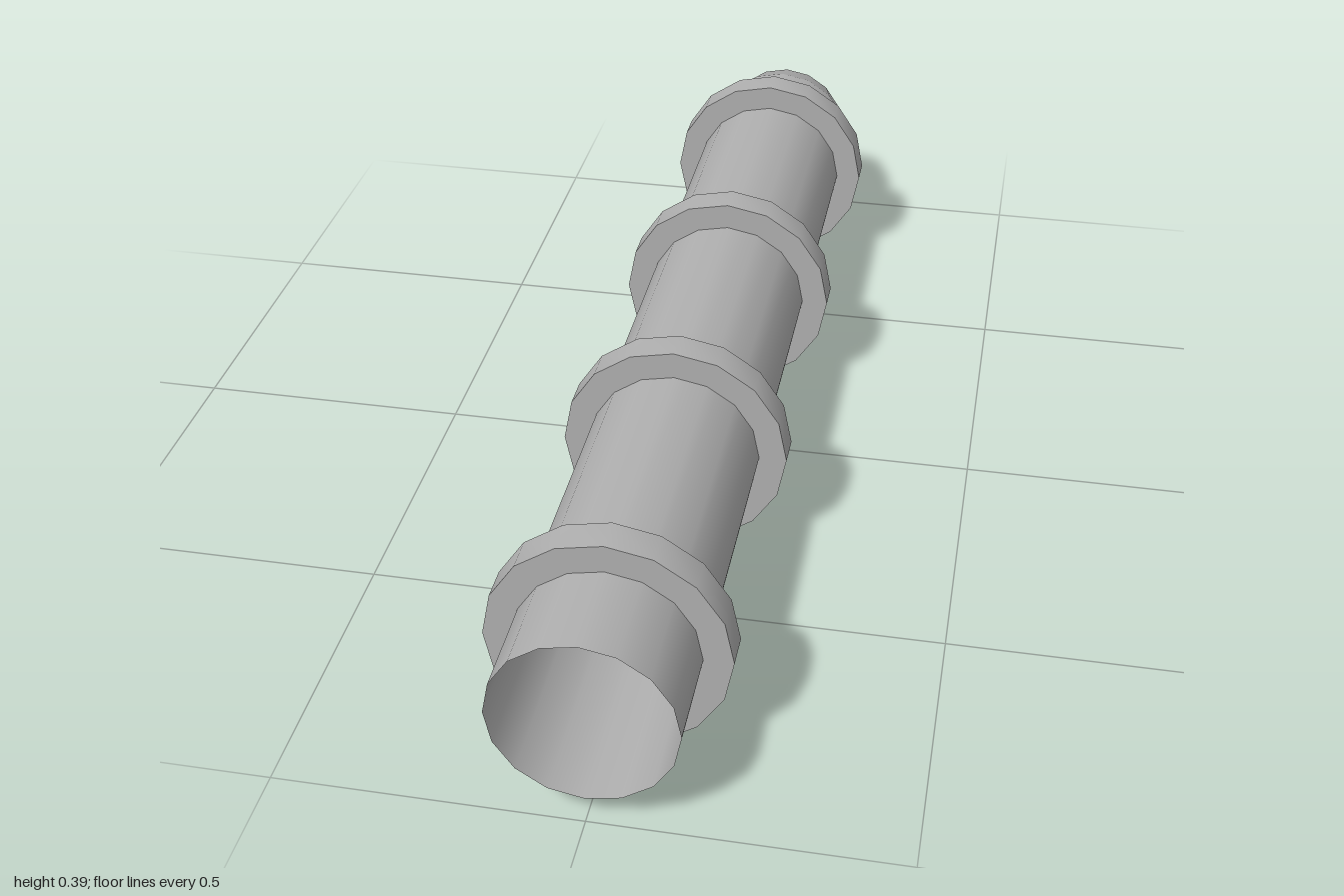
import * as THREE from 'three';
import { toCreasedNormals } from 'three/addons/utils/BufferGeometryUtils.js';

const SIDES = 16;
const PIPE_R = 0.149, TIP_R = 0.126, COLLAR_R = 0.197, AXIS_Y = 0.198;
const TAPER_Z = -0.927;

export function createModel() {
  const model = new THREE.Group();
  model.name = 'collaredPipe';
  const grey = new THREE.MeshStandardMaterial({ color: 0xb0b0b0, side: THREE.DoubleSide });
  grey.name = 'grey';

  // Lay a part, built along y, onto the pipe axis along z
  function add(name, geometry, z) {
    const mesh = new THREE.Mesh(geometry.rotateX(Math.PI / 2), grey);
    mesh.name = name;
    mesh.position.set(0, AXIS_Y, z);
    model.add(mesh);
  }

  // Open, thin-walled tube section between two z positions
  function addTube(name, frontR, backR, frontZ, backZ) {
    add(name, new THREE.CylinderGeometry(frontR, backR, frontZ - backZ, SIDES, 1, true), (frontZ + backZ) / 2);
  }
  addTube('pipe', PIPE_R, PIPE_R, 1, TAPER_Z);
  addTube('taperedEnd', PIPE_R, TIP_R, TAPER_Z, -1);

  // Four evenly spaced collars, open in the middle for the bore
  const h = 0.029;
  const profile = [[PIPE_R, -h], [COLLAR_R, -h], [COLLAR_R, h], [PIPE_R, h]]
    .map(([r, y]) => new THREE.Vector2(r, y));
  for (let i = 0; i < 4; i++) {
    const collar = toCreasedNormals(new THREE.LatheGeometry(profile, SIDES), Math.PI / 6);
    add('collar' + (i + 1), collar, 0.801 - i * 0.527);
  }
  return model;
}
